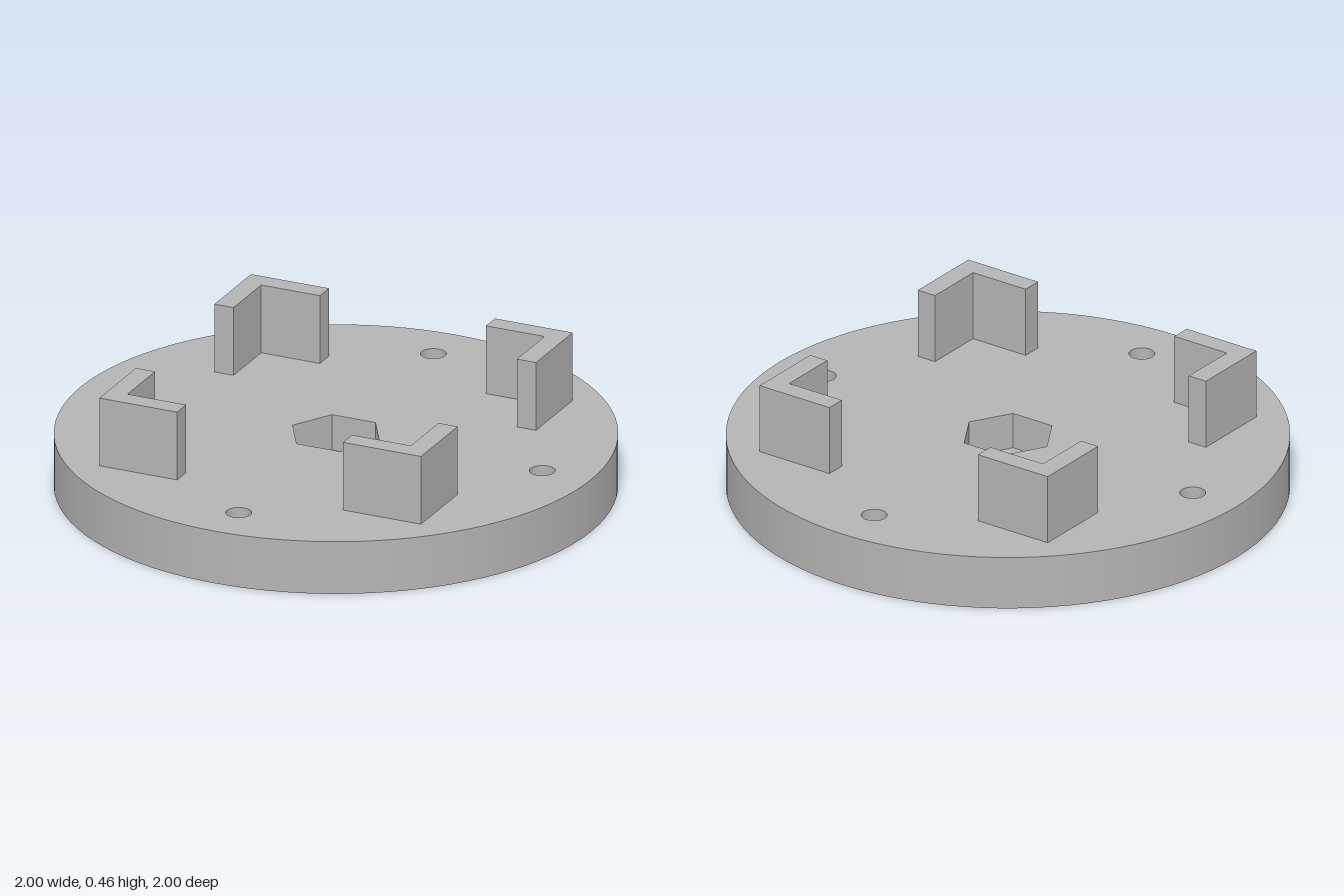
import * as THREE from 'three';
import { mergeGeometries } from 'three/addons/utils/BufferGeometryUtils.js';

const TOP = 0.2, POCKET = 0.065, BORE = 0.12; // plate top, hex pocket floor, counterbore roof
const HEX_R = 0.17, CENTRE_R = 0.087, BOLT_R = 0.046, HEAD_R = 0.08, BOLT_POS = 0.808;
const bolts = [0, 1, 2, 3].map(i => [
  BOLT_POS * Math.cos(i * Math.PI / 2), BOLT_POS * Math.sin(i * Math.PI / 2)]);

function circle(r, x = 0, y = 0, Type = THREE.Path) {
  return new Type().absarc(x, y, r, 0, Math.PI * 2, false);
}

function hexagon(Type) {
  const pts = [];
  for (let i = 0; i < 6; i++) {
    const a = i * Math.PI / 3;
    pts.push(new THREE.Vector2(HEX_R * Math.cos(a), HEX_R * Math.sin(a)));
  }
  return new Type(pts);
}

// Flat horizontal face with holes
function cap(outline, holes, y, up) {
  outline.holes.push(...holes);
  return new THREE.ShapeGeometry(outline, 48)
    .rotateX(up ? -Math.PI / 2 : Math.PI / 2).translate(0, y, 0).toNonIndexed();
}

// Upright wall; running the profile downwards makes it face inwards
function wall(r, y0, y1, sides = 96) {
  const g = new THREE.LatheGeometry(
    [new THREE.Vector2(r, y0), new THREE.Vector2(r, y1)], sides)
    .rotateY(Math.PI / 2).toNonIndexed();
  if (sides < 12) g.computeVertexNormals();
  return g;
}

export function createModel() {
  const model = new THREE.Group();
  const grey = new THREE.MeshStandardMaterial({ color: 0xb4b4b4 });
  grey.name = 'grey';
  const add = (name, geometry) => {
    const mesh = new THREE.Mesh(geometry, grey);
    mesh.name = name;
    model.add(mesh);
    return mesh;
  };

  // Round plate: rim, top and underside
  add('basePlate', mergeGeometries([
    wall(1, 0, TOP),
    cap(circle(1, 0, 0, THREE.Shape),
      [hexagon(THREE.Path), ...bolts.map(([x, z]) => circle(BOLT_R, x, z))], TOP, true),
    cap(circle(1, 0, 0, THREE.Shape),
      [circle(CENTRE_R), ...bolts.map(([x, z]) => circle(HEAD_R, x, z))], 0, false),
  ]));

  // Hexagonal nut pocket over a round through hole
  add('nutPocket', mergeGeometries([
    wall(HEX_R, TOP, POCKET, 6),
    cap(hexagon(THREE.Shape), [circle(CENTRE_R)], POCKET, true),
    wall(CENTRE_R, POCKET, 0),
  ]));

  // Bolt holes, counterbored from below
  const boltHole = mergeGeometries([
    wall(BOLT_R, TOP, BORE),
    cap(circle(HEAD_R, 0, 0, THREE.Shape), [circle(BOLT_R)], BORE, false),
    wall(HEAD_R, BORE, 0),
  ]);
  for (const [x, z] of bolts) add('boltHole', boltHole).position.set(x, 0, z);

  // Four L-shaped corner brackets
  const out = 0.63, inn = 0.555, end = 0.325;
  const corner = new THREE.Shape([
    [end, inn], [inn, inn], [inn, end], [out, end], [out, out], [end, out],
  ].map(([x, y]) => new THREE.Vector2(x, y)));
  const bracket = new THREE.ExtrudeGeometry(corner, { depth: 0.26, bevelEnabled: false })
    .rotateX(-Math.PI / 2).translate(0, TOP, 0);
  for (let i = 0; i < 4; i++) add('cornerBracket', bracket).rotation.y = i * Math.PI / 2;

  return model;
}
